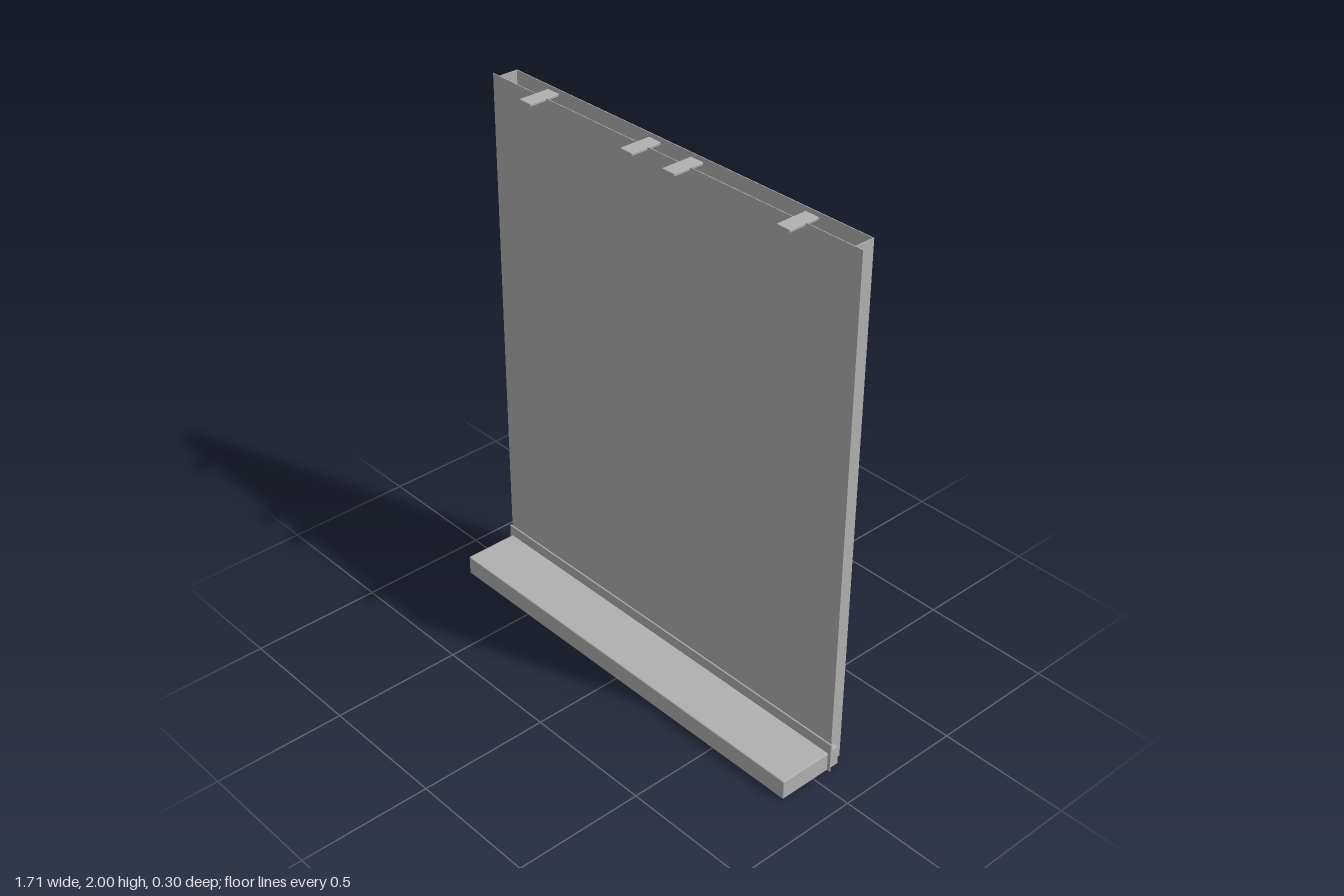
import * as THREE from 'three';
import { RoundedBoxGeometry } from 'three/addons/geometries/RoundedBoxGeometry.js';

export function createModel() {
  const group = new THREE.Group();
  const grey = new THREE.MeshStandardMaterial({ color: 0xb0b0b0 });
  grey.name = 'grey';

  // Box given by its minimum and maximum corners; radius softens its edges
  function box(name, [x0, y0, z0], [x1, y1, z1], radius = 0) {
    const size = [x1 - x0, y1 - y0, z1 - z0];
    const geometry = radius
      ? new RoundedBoxGeometry(...size, 2, radius)
      : new THREE.BoxGeometry(...size);
    const mesh = new THREE.Mesh(geometry, grey);
    mesh.name = name;
    mesh.position.set((x0 + x1) / 2, (y0 + y1) / 2, (z0 + z1) / 2);
    group.add(mesh);
  }

  // Hollow panel, open at the top
  const t = 0.003;
  box('frontSheet', [-0.82, 0, -0.07 - t], [0.82, 2, -0.07]);
  box('backSheet', [-0.82, 0, -0.15], [0.82, 2, -0.15 + t]);
  box('panelBottom', [-0.82, 0, -0.15 + t], [0.82, t, -0.07 - t]);

  for (const [side, s] of [['left', 1], ['right', -1]]) {
    const span = (a, b) => (s > 0 ? [a, b] : [-b, -a]);

    // Panel side wall and the flange beside the front sheet
    const [w0, w1] = span(0.82 - t, 0.82);
    box(side + 'PanelSide', [w0, t, -0.15 + t], [w1, 2, -0.07 - t]);
    const [f0, f1] = span(0.82, 0.85);
    box(side + 'Flange', [f0, 0, -0.07 - t], [f1, 2, -0.07]);

    // End of the ledge wrapping round the panel
    const [e0, e1] = span(0.82, 0.845);
    box(side + 'LedgeReturn', [e0, 0.005, -0.113], [e1, 0.08, -0.066]);
  }

  // Ledge and the upright lip at its back
  box('ledge', [-0.845, 0.003, -0.066], [0.845, 0.08, 0.15], 0.005);
  box('ledgeLip', [-0.857, 0.003, -0.069], [0.857, 0.122, -0.062], 0.003);

  // Flat hanging clips along the top edge
  for (const x of [-0.6, -0.1, 0.095, 0.593]) {
    box('topClip', [x - 0.028, 1.988, -0.127], [x + 0.028, 2, -0.003], 0.003);
  }

  return group;
}
